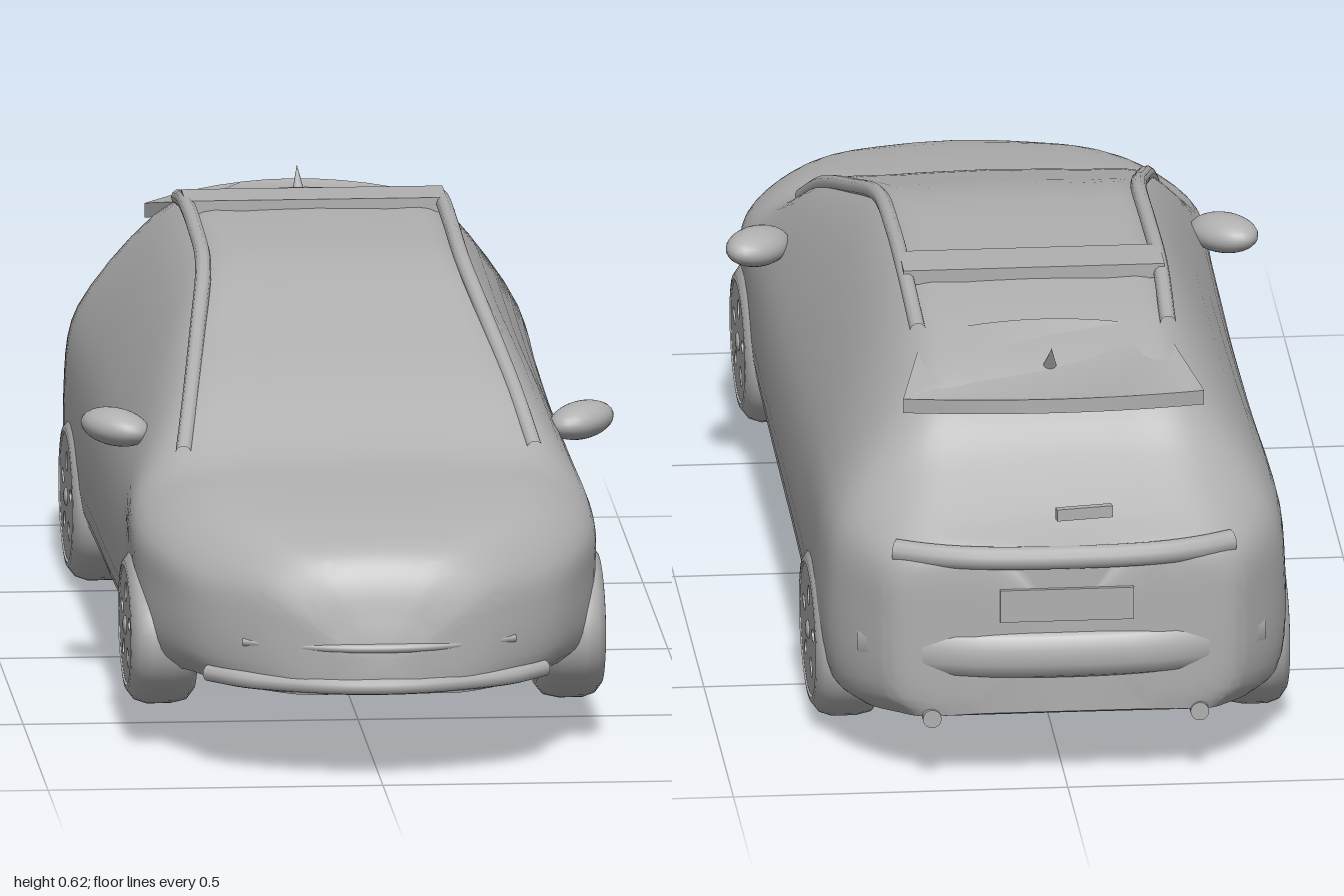
import * as THREE from 'three';
import { toCreasedNormals, mergeVertices } from 'three/addons/utils/BufferGeometryUtils.js';

const paint = new THREE.MeshStandardMaterial({ color: 0xb0b0b0 });
paint.name = 'grey';
const V = (x, y, z) => new THREE.Vector3(x, y, z);

function add(parent, name, geometry) {
  const mesh = new THREE.Mesh(geometry, paint);
  mesh.name = name;
  parent.add(mesh);
  return mesh;
}

// Body stations: z, floor, side width, shoulder width, shoulder y, roof edge width, roof edge y, top
const stations = [
  [0.99, 0.14, 0.06, 0.055, 0.21, 0.03, 0.225, 0.23],
  [0.97, 0.135, 0.13, 0.125, 0.26, 0.08, 0.295, 0.305],
  [0.94, 0.135, 0.185, 0.175, 0.29, 0.12, 0.33, 0.345],
  [0.87, 0.135, 0.26, 0.25, 0.3, 0.19, 0.353, 0.37],
  [0.78, 0.135, 0.31, 0.305, 0.315, 0.24, 0.37, 0.387],
  [0.68, 0.125, 0.34, 0.333, 0.33, 0.26, 0.385, 0.4],
  [0.56, 0.12, 0.345, 0.338, 0.345, 0.27, 0.398, 0.417],
  [0.4, 0.113, 0.345, 0.325, 0.375, 0.245, 0.475, 0.49],
  [0.2, 0.105, 0.345, 0.32, 0.385, 0.22, 0.535, 0.55],
  [0, 0.095, 0.344, 0.317, 0.39, 0.19, 0.587, 0.598],
  [-0.2, 0.09, 0.344, 0.317, 0.395, 0.185, 0.6, 0.61],
  [-0.42, 0.083, 0.345, 0.32, 0.395, 0.185, 0.597, 0.607],
  [-0.6, 0.08, 0.347, 0.326, 0.39, 0.185, 0.575, 0.585],
  [-0.74, 0.08, 0.347, 0.326, 0.385, 0.19, 0.535, 0.545],
  [-0.83, 0.085, 0.335, 0.315, 0.37, 0.21, 0.455, 0.47],
  [-0.92, 0.1, 0.285, 0.275, 0.345, 0.22, 0.388, 0.405],
  [-0.955, 0.105, 0.25, 0.24, 0.335, 0.195, 0.368, 0.385],
  [-0.98, 0.115, 0.14, 0.135, 0.33, 0.11, 0.358, 0.373],
];

// Closed ring of one station, running from the floor centre up the left side and around
function ring([z, b, w, sw, sy, ew, ey, top]) {
  const side = new THREE.CatmullRomCurve3([
    V(0.86 * w, b, z), V(0.965 * w, b + 0.03, z), V(w, (b + sy) / 2 + 0.03, z),
    V(sw, sy, z), V(ew, ey, z), V(0.55 * ew, ey + 0.75 * (top - ey), z), V(0, top, z),
  ], false, 'centripetal').getPoints(30);
  const half = [V(0, b, z), ...side];
  const mirrored = half.slice(1, -1).reverse().map((p) => V(-p.x, p.y, z));
  return [...half, ...mirrored];
}

function bodyGeometry() {
  const rings = stations.map(ring), n = rings[0].length, rows = 80;
  const tracks = rings[0].map((_, j) =>
    new THREE.CatmullRomCurve3(rings.map((r) => r[j]), false, 'centripetal'));
  const positions = [], index = [];
  for (let i = 0; i <= rows; i++)
    for (const track of tracks) positions.push(...track.getPoint(i / rows).toArray());
  for (let i = 0; i < rows; i++)
    for (let j = 0; j < n; j++) {
      const k = (j + 1) % n, a = i * n + j, b = i * n + k;
      index.push(a, a + n, b, b, a + n, b + n);
    }
  // nose and tail caps
  const front = positions.length / 3, back = front + 1;
  positions.push(0, 0.19, 0.995, 0, 0.25, -0.982);
  for (let j = 0; j < n; j++) {
    const k = (j + 1) % n;
    index.push(front, j, k, back, rows * n + k, rows * n + j);
  }
  const g = new THREE.BufferGeometry();
  g.setAttribute('position', new THREE.Float32BufferAttribute(positions, 3));
  g.setIndex(index);
  return toCreasedNormals(g, 0.7);
}

// Flattened strip that follows a mirrored plan curve given as [x, z] from the centre outward
function strip(parent, name, plan, y, radius, flatten) {
  const right = plan.slice(1).reverse().map(([x, z]) => V(-x, 0, z));
  const curve = new THREE.CatmullRomCurve3([...right, ...plan.map(([x, z]) => V(x, 0, z))]);
  const g = new THREE.TubeGeometry(curve, 40, radius, 10);
  g.scale(1, flatten, 1);
  g.translate(0, y, 0);
  add(parent, name, g);
}

// Rear spoiler: arched plate, curved across and sloping backward
function spoilerGeometry() {
  const pts = [];
  for (let i = -6; i <= 6; i++) pts.push(new THREE.Vector2((i / 6) * 0.18, 0.58));
  for (let i = 6; i >= -6; i--) {
    const t = i / 6;
    pts.push(new THREE.Vector2(t * 0.225, 0.835 - 0.075 * t * t));
  }
  const g = new THREE.ExtrudeGeometry(new THREE.Shape(pts), { depth: 0.022, bevelEnabled: false });
  g.rotateX(-Math.PI / 2);
  const p = g.attributes.position;
  for (let i = 0; i < p.count; i++) {
    const x = p.getX(i), z = p.getZ(i);
    p.setY(i, p.getY(i) + 0.57 + 0.15 * (z + 0.6) - 0.6 * x * x);
  }
  return toCreasedNormals(g, 0.6);
}

// Wheel: turned tyre with a pierced rim disc, outer face toward +x
function makeWheel(name, radius, side, y, z) {
  const wheel = new THREE.Group();
  wheel.name = name;
  const R = radius;
  const profile = [[0, -0.05], [R - 0.02, -0.05], [R - 0.005, -0.038], [R, -0.015], [R, 0.02],
    [R - 0.006, 0.038], [R - 0.02, 0.049], [R - 0.027, 0.05], [R - 0.031, 0.041], [0, 0.041]]
    .map(([a, b]) => new THREE.Vector2(a, b));
  const tyre = new THREE.LatheGeometry(profile, 48);
  tyre.rotateZ(-Math.PI / 2);
  add(wheel, 'tyre', toCreasedNormals(tyre, 0.7));

  const disc = new THREE.Shape().absarc(0, 0, R - 0.03, 0, Math.PI * 2);
  for (let i = 0; i < 5; i++) {
    const a = (i / 5) * Math.PI * 2 + 0.3, r = R * 0.44;
    disc.holes.push(new THREE.Path().absellipse(
      Math.cos(a) * r, Math.sin(a) * r, 0.015, 0.009, 0, Math.PI * 2, true, a));
  }
  const rim = new THREE.ExtrudeGeometry(disc, { depth: 0.009, bevelEnabled: false, curveSegments: 24 });
  rim.rotateY(Math.PI / 2);
  rim.translate(0.039, 0, 0);
  add(wheel, 'rim', rim);
  const hub = new THREE.SphereGeometry(0.014, 16, 10);
  hub.scale(0.35, 1, 1);
  hub.translate(0.048, 0, 0);
  add(wheel, 'hub', hub);

  wheel.scale.z = 1.45;
  wheel.position.set(side * 0.305, y, z);
  if (side < 0) wheel.rotation.y = Math.PI;
  return wheel;
}

// Door mirror: ellipsoid shell swept back toward its tip
function mirrorGeometry(side) {
  const g = new THREE.SphereGeometry(1, 24, 16);
  const p = g.attributes.position;
  for (let i = 0; i < p.count; i++) {
    const x = p.getX(i), y = p.getY(i), z = p.getZ(i);
    p.setXYZ(i, side * 0.348 + x * 0.05, 0.413 + y * 0.028 + side * x * 0.003,
      0.305 + z * 0.05 - side * x * 0.022);
  }
  g.computeVertexNormals();
  return g;
}

export function createModel() {
  const car = new THREE.Group();
  car.name = 'car';
  add(car, 'body', bodyGeometry());
  add(car, 'spoiler', spoilerGeometry());

  for (const side of [1, -1]) {
    const label = side > 0 ? 'left' : 'right';
    car.add(makeWheel(label + 'FrontWheel', 0.115, side, 0.167, 0.58));
    car.add(makeWheel(label + 'RearWheel', 0.123, side, 0.125, -0.605));
    add(car, label + 'Mirror', mirrorGeometry(side));
    const stalk = add(car, label + 'MirrorStalk', new THREE.CylinderGeometry(0.01, 0.016, 0.05, 12));
    stalk.position.set(side * 0.305, 0.395, 0.325);
    stalk.rotation.z = -side * 1.1;

    // windscreen pillar running into the roof rail
    const rail = new THREE.CatmullRomCurve3([[0.262, 0.415, 0.52], [0.243, 0.475, 0.4], [0.217, 0.54, 0.2],
      [0.194, 0.595, 0], [0.191, 0.611, -0.2], [0.191, 0.611, -0.4], [0.187, 0.582, -0.58]]
      .map(([x, y, z]) => V(side * x, y, z)));
    add(car, label + 'RoofRail', new THREE.TubeGeometry(rail, 40, 0.012, 10));

    const exhaust = add(car, label + 'Exhaust', new THREE.CylinderGeometry(0.014, 0.014, 0.06, 16));
    exhaust.position.set(side * 0.2, 0.105, -0.94);
    exhaust.rotation.x = Math.PI / 2;
  }

  // roof crossbar
  const bar = add(car, 'roofCrossbar', new THREE.BoxGeometry(0.39, 0.022, 0.09));
  bar.position.set(0, 0.613, -0.385);

  // front bumper strips
  const nose = [[0, 0.988], [0.06, 0.982], [0.13, 0.958], [0.2, 0.92]];
  strip(car, 'grilleBrow', nose, 0.208, 0.011, 0.7);
  strip(car, 'bumperLip', [...nose, [0.25, 0.865]], 0.15, 0.013, 1);

  // rear bumper, tailgate ledge and plate
  const tail = [[0, -0.978], [0.13, -0.97], [0.2, -0.95], [0.25, -0.925], [0.29, -0.88]];
  strip(car, 'rearBumper', tail, 0.205, 0.022, 1.7);
  strip(car, 'tailgateLedge', tail.slice(0, 4), 0.357, 0.018, 1);
  const plate = add(car, 'plate', new THREE.BoxGeometry(0.2, 0.05, 0.009));
  plate.position.set(0, 0.285, -0.983);

  // roof antenna and rear wiper
  const fin = add(car, 'antenna', new THREE.ConeGeometry(0.011, 0.055, 12));
  fin.position.set(0, 0.578, -0.71);
  fin.rotation.x = -0.7;
  const wiper = add(car, 'rearWiper', new THREE.BoxGeometry(0.085, 0.018, 0.012));
  wiper.position.set(-0.03, 0.412, -0.935);
  wiper.rotation.y = 0.15;
  return car;
}
